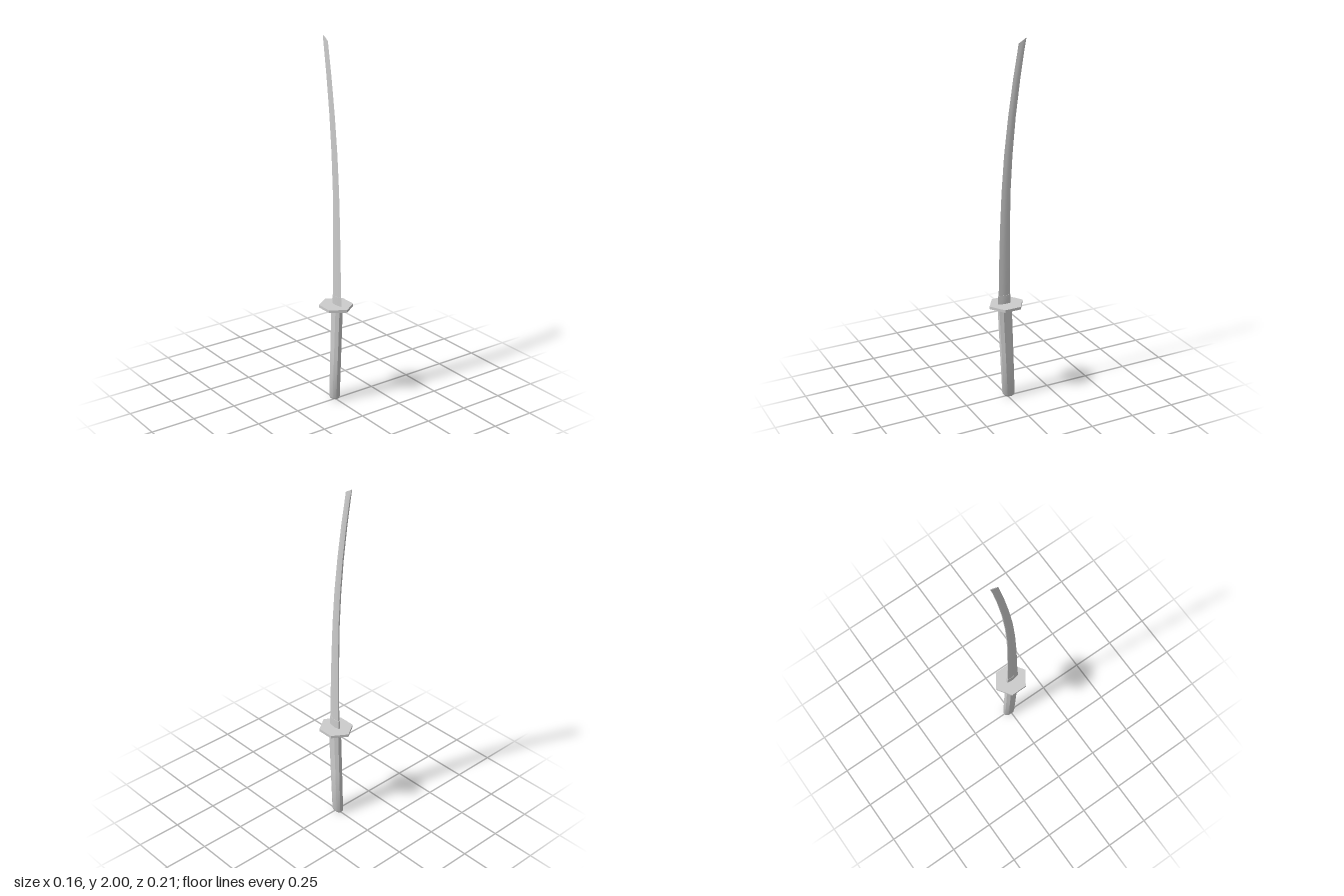
import * as THREE from 'three';
import { toCreasedNormals } from 'three/addons/utils/BufferGeometryUtils.js';

// Outlines as [side, depth]: side scales the half width, depth runs 0 (front) to 1 (back)
const mirrored = (half, tipFront, tipBack) => [
  ...(tipFront ? [[0, 0]] : []),
  ...half,
  ...(tipBack ? [[0, 1]] : []),
  ...half.map(([s, d]) => [-s, d]).reverse(),
];
const bladeOutline = mirrored([[0.65, 0.3], [1, 0.62], [0.6, 0.97]], true, true);
const gripOutline = mirrored([[0.45, 0], [1, 0.25], [1, 0.75], [0.45, 1]], false, false);
const guardOutline = mirrored([[1, 0.27], [1, 0.735]], true, true);

// Closed loft through sections [yFront, zFront, yBack, zBack, halfWidth]
function loft(name, outline, sections, crease) {
  const n = outline.length, positions = [], index = [];
  const { lerp } = THREE.MathUtils;
  for (const [yf, zf, yb, zb, w] of sections) {
    for (const [s, d] of outline) positions.push(s * w, lerp(yf, yb, d), lerp(zf, zb, d));
  }
  for (let r = 0; r < sections.length - 1; r++) {
    for (let i = 0; i < n; i++) {
      const a = r * n + i, b = r * n + (i + 1) % n;
      index.push(a, b, b + n, a, b + n, a + n);
    }
  }
  // End caps
  const top = (sections.length - 1) * n;
  for (let i = 1; i < n - 1; i++) {
    index.push(0, i + 1, i);
    index.push(top, top + i, top + i + 1);
  }
  const geometry = new THREE.BufferGeometry();
  geometry.setAttribute('position', new THREE.Float32BufferAttribute(positions, 3));
  geometry.setIndex(index);
  const mesh = new THREE.Mesh(
    toCreasedNormals(geometry, crease),
    new THREE.MeshStandardMaterial({ color: 0xcccccc }),
  );
  mesh.name = name;
  return mesh;
}

// Level section
const level = (y, zf, zb, w) => [y, zf, y, zb, w];

export function createModel() {
  const group = new THREE.Group();
  group.name = 'curvedSword';

  // Slightly raked grip with a bevelled butt
  group.add(loft('grip', gripOutline, [
    [0.004, 0.017, 0, -0.033, 0.018],
    [0.016, 0.026, 0.012, -0.04, 0.024],
    level(0.28, 0.04, -0.031, 0.024),
    level(0.553, 0.054, -0.021, 0.024),
  ], 0.6));

  // Flat six-sided guard
  group.add(loft('guard', guardOutline, [
    level(0.551, 0.107, -0.092, 0.08),
    level(0.566, 0.107, -0.092, 0.08),
  ], 0.5));

  // Collar at the foot of the blade
  group.add(loft('bladeCollar', bladeOutline, [
    level(0.564, 0.057, -0.02, 0.009),
    level(0.615, 0.055, -0.019, 0.009),
  ], 0.6));

  // Curved blade, edge to the front, cut off at a slant
  group.add(loft('blade', bladeOutline, [
    level(0.564, 0.053, -0.017, 0.007),
    level(0.8, 0.049, -0.015, 0.007),
    level(1.0, 0.043, -0.015, 0.007),
    level(1.2, 0.034, -0.018, 0.007),
    level(1.4, 0.019, -0.029, 0.007),
    level(1.6, -0.004, -0.047, 0.007),
    level(1.8, -0.033, -0.073, 0.0065),
    [1.925, -0.055, 1.94, -0.095, 0.006],
    [1.974, -0.063, 2.0, -0.107, 0.0025],
  ], 0.6));

  return group;
}
